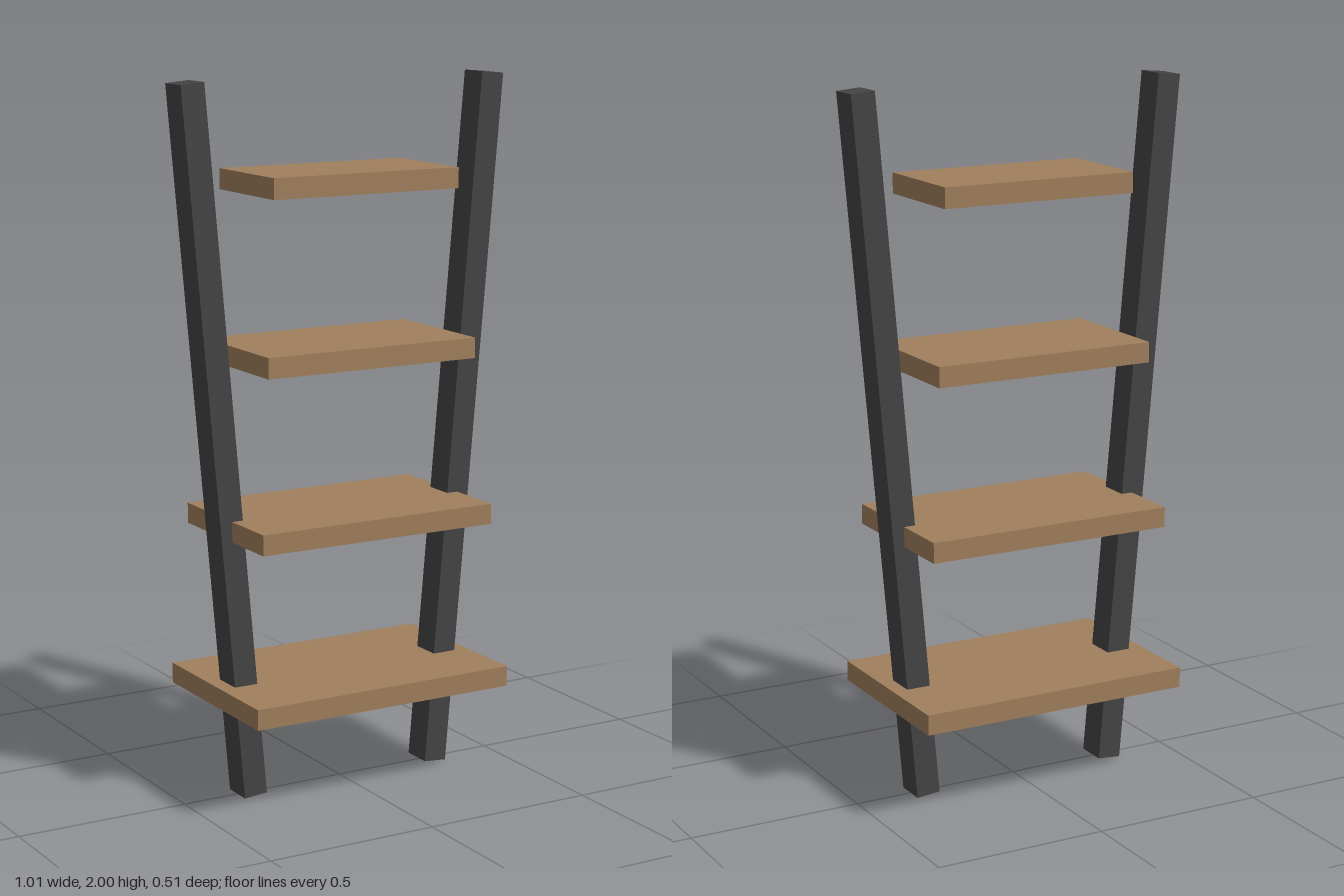
import * as THREE from 'three';

export function createModel() {
  const group = new THREE.Group();
  group.name = 'ladderShelf';

  const wood = new THREE.MeshStandardMaterial({ color: 0xa07f5c });
  wood.name = 'warm wood';
  const metal = new THREE.MeshStandardMaterial({ color: 0x444444 });
  metal.name = 'dark grey';

  const addBox = (name, size, position, material) => {
    const mesh = new THREE.Mesh(new THREE.BoxGeometry(...size), material);
    mesh.name = name;
    mesh.position.set(...position);
    group.add(mesh);
    return mesh;
  };

  // Two square rails leaning outwards by five degrees
  const lean = THREE.MathUtils.degToRad(5);
  for (const [name, side] of [['leftRail', 1], ['rightRail', -1]]) {
    const rail = addBox(name, [0.07, 2.0015, 0.09], [side * 0.385, 1, 0], metal);
    rail.rotation.z = -side * lean;
  }

  // Four shelves, evenly spaced and shrinking upwards
  const shelfCount = 4;
  for (let i = 0; i < shelfCount; i++) {
    const t = i / (shelfCount - 1);
    const width = THREE.MathUtils.lerp(0.808, 0.58, t);
    const depth = THREE.MathUtils.lerp(0.512, 0.31, t);
    const y = THREE.MathUtils.lerp(0.3, 1.72, t);
    addBox(`shelf${i + 1}`, [width, 0.058, depth], [0, y, 0], wood);
  }

  return group;
}
